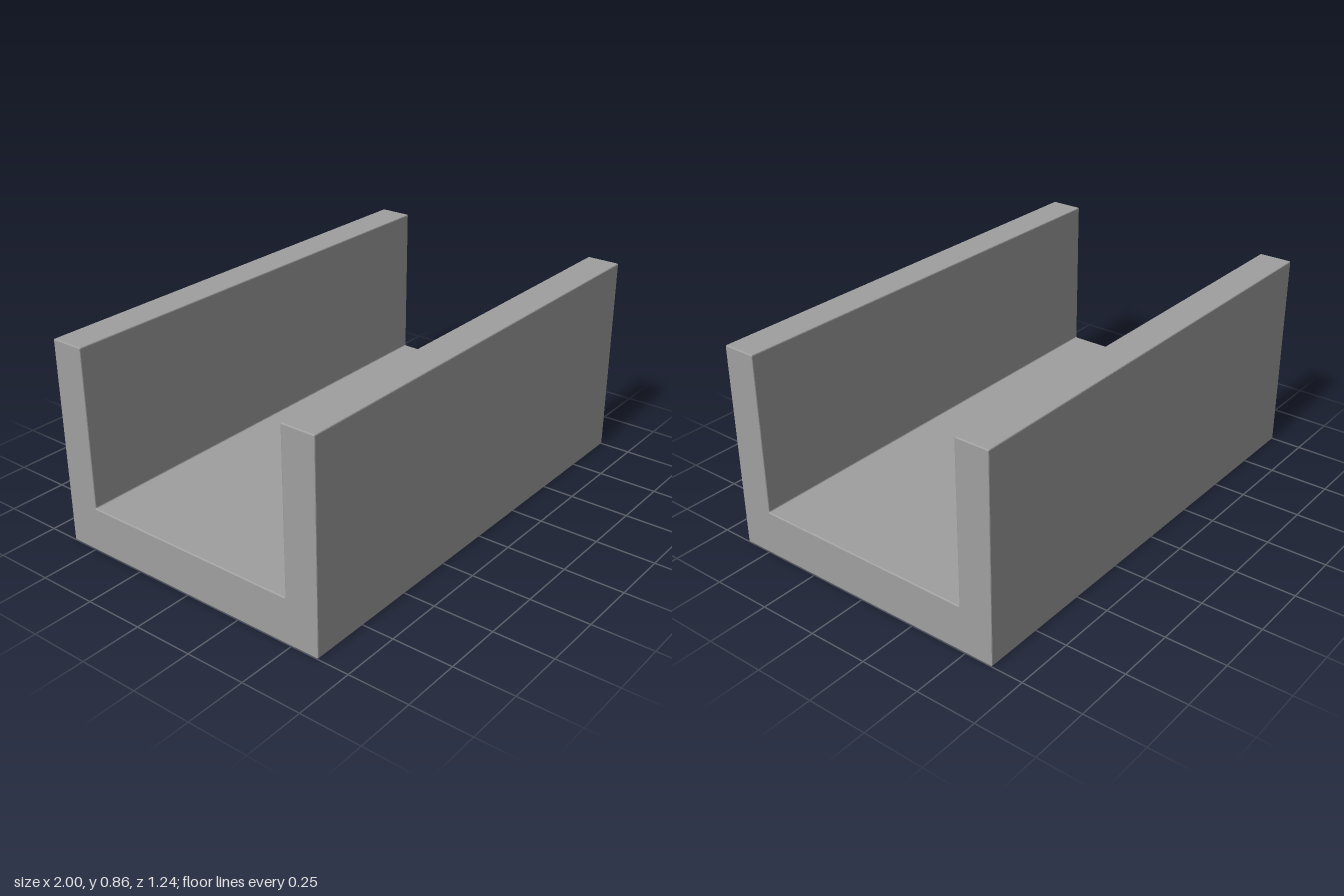
import * as THREE from 'three';

// Closed outline with every corner slightly rounded
function roundedOutline(corners, radius) {
  const points = corners.map(([x, y]) => new THREE.Vector2(x, y));
  const shape = new THREE.Shape();
  points.forEach((p, i) => {
    const toward = (q) => p.clone().add(q.clone().sub(p).setLength(radius));
    const start = toward(points.at(i - 1));
    const end = toward(points[(i + 1) % points.length]);
    if (i === 0) shape.moveTo(start.x, start.y);
    else shape.lineTo(start.x, start.y);
    shape.quadraticCurveTo(p.x, p.y, end.x, end.y);
  });
  return shape;
}

export function createModel() {
  const group = new THREE.Group();
  group.name = 'channel';

  const length = 2, halfWidth = 0.619, height = 0.857;
  const innerHalf = 0.477, floor = 0.19;
  const radius = 0.006, bevel = 0.004;

  // U-shaped cross-section: floor with two upright walls
  const profile = roundedOutline([
    [-halfWidth, 0], [halfWidth, 0], [halfWidth, height], [innerHalf, height],
    [innerHalf, floor], [-innerHalf, floor], [-innerHalf, height], [-halfWidth, height],
  ], radius);

  // Run the section along x, centred, with softened end edges
  const geometry = new THREE.ExtrudeGeometry(profile, {
    depth: length - 2 * bevel,
    curveSegments: 3,
    bevelThickness: bevel,
    bevelSize: bevel,
    bevelOffset: -bevel,
    bevelSegments: 2,
  });
  geometry.translate(0, 0, bevel - length / 2);
  geometry.rotateY(Math.PI / 2);

  const channel = new THREE.Mesh(geometry, new THREE.MeshStandardMaterial({ color: 0xa0a0a0 }));
  channel.name = 'uChannel';
  group.add(channel);
  return group;
}
